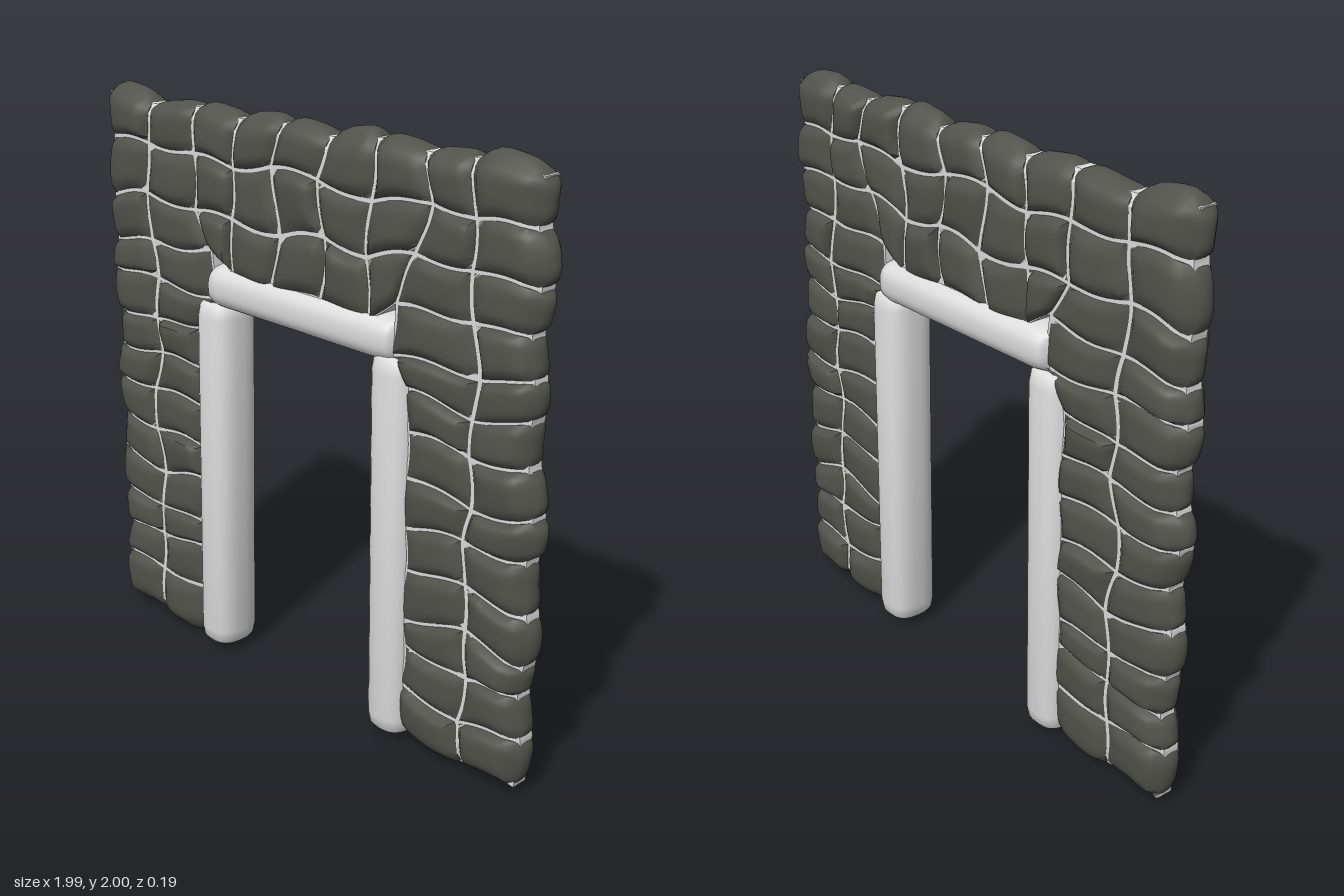
import * as THREE from 'three';
import { mergeVertices, mergeGeometries, toCreasedNormals } from 'three/addons/utils/BufferGeometryUtils.js';

// Joint lines of the masonry
const XS = [-0.95, -0.72, -0.5, -0.3, -0.09, 0.11, 0.32, 0.54, 0.74, 0.95];
const YS = [0.03, 0.2, 0.35, 0.48, 0.63, 0.78, 0.92, 1.07, 1.2, 1.32, 1.47, 1.62, 1.79, 1.95];
const COLS = XS.length - 1, ROWS = YS.length - 1;
const LINTEL_ROW = 10;

// Seeded value in -1..1
function noise(i, j, k) {
  const s = Math.sin(i * 127.1 + j * 311.7 + k * 74.7) * 43758.5453;
  return (s - Math.floor(s)) * 2 - 1;
}

// Irregular corner shared by neighbouring stones
function corner(i, j) {
  let x = XS[i], y = YS[j], ax = 0.025, ay = 0.024;
  if (i === 2 && j <= LINTEL_ROW) { x = j < 9 ? -0.47 : -0.4; ax = 0.006; }
  if (i === 7 && j <= LINTEL_ROW) { x = j < 9 ? 0.49 : 0.42; ax = 0.006; }
  if (j === LINTEL_ROW && i > 2 && i < 7) { y = 1.42; ay = 0.006; }
  if (i === 0 || i === COLS) ax = 0.012;
  if (j === 0 || j === ROWS) ay = 0.008;
  return [x + ax * noise(i, j, 1), y + ay * noise(i, j, 2)];
}

// One masonry cell: a pillow for a stone, a flat block for the mortar bed
function cell(i, j, isStone) {
  const n = isStone ? 8 : 4;
  const geo = new THREE.BoxGeometry(2, 2, 2, n, n, 4);
  geo.deleteAttribute('uv');
  geo.deleteAttribute('normal');
  const [a, b, c, d] = [corner(i, j), corner(i + 1, j), corner(i, j + 1), corner(i + 1, j + 1)];
  const gap = isStone ? 0.055 : 0;
  const tiltX = 0.35 * noise(i, j, 3), tiltY = 0.35 * noise(i, j, 4);
  const swell = 0.024 + 0.006 * noise(i, j, 5);
  const bulge = isStone ? 0.03 + 0.01 * noise(i, j, 6) : 0;
  const left = i === 0, right = i === COLS - 1, bottom = j === 0, top = j === ROWS - 1;
  const p = geo.attributes.position;
  for (let k = 0; k < p.count; k++) {
    const u = p.getX(k), v = p.getY(k), w = p.getZ(k);
    const s = (u * (1 - gap) + 1) / 2, t = (v * (1 - gap * 1.3) + 1) / 2;
    const mix = (q) => (a[q] * (1 - s) + b[q] * s) * (1 - t) + (c[q] * (1 - s) + d[q] * s) * t;
    let x = mix(0), y = mix(1);
    // wavy joints
    const wx = 0.011 * Math.sin(y * 17 + x * 5), wy = 0.012 * Math.sin(x * 15 + y * 4 + 1);
    x += wx;
    y += wy;
    // distance towards any exposed outer edge
    const ex = (left && u < 0) || (right && u > 0) ? Math.abs(u) : 0;
    const ey = (bottom && v < 0) || (top && v > 0) ? Math.abs(v) : 0;
    const round = 1 - 0.42 * Math.max(ex ** 5, ey ** 5);
    const belly = 1 - 0.4 * w * w;
    x += Math.sign(u) * ex ** 3 * bulge * belly * (1 - v ** 4 * 0.9);
    y += Math.sign(v) * ey ** 3 * bulge * belly * (1 - u ** 4 * 0.9);
    const pillow = Math.pow((1 - u ** 4) * (1 - v ** 4), 0.6);
    const h = isStone
      ? 0.052 + swell * pillow * (1 + tiltX * u + tiltY * v)
      : 0.052;
    p.setXYZ(k, x, Math.max(0, y), w * h * round);
  }
  const merged = mergeVertices(geo, 1e-5);
  return isStone ? toCreasedNormals(merged, 0.8) : toCreasedNormals(merged, 0.5);
}

// Softly squared beam along y with rounded ends
function beam(length, rx, rz, lean) {
  const e = length / 2;
  const profile = [[0, -e], [0.82, -e], [0.93, -e + 0.012], [1, -e + 0.05], [1, 0],
    [1, e - 0.05], [0.93, e - 0.012], [0.82, e], [0, e]].map(([r, y]) => new THREE.Vector2(r, y));
  const geo = new THREE.LatheGeometry(profile, 32);
  geo.deleteAttribute('uv');
  geo.deleteAttribute('normal');
  const p = geo.attributes.position;
  for (let k = 0; k < p.count; k++) {
    const x = p.getX(k), y = p.getY(k), z = p.getZ(k);
    const r = Math.hypot(x, z) || 1;
    const f = Math.pow(Math.abs(x / r) ** 2.7 + Math.abs(z / r) ** 2.7, -1 / 2.7) || 1;
    const g = Number.isFinite(f) ? f : 1;
    p.setXYZ(k, x * g * rx + lean * y / e, y, z * g * rz);
  }
  return toCreasedNormals(mergeVertices(geo, 1e-5), 0.9);
}

export function createModel() {
  const model = new THREE.Group();
  model.name = 'stoneDoorway';
  const stone = new THREE.MeshStandardMaterial({ color: 0x51524b });
  stone.name = 'dark stone';
  const pale = new THREE.MeshStandardMaterial({ color: 0xdcdcdc });
  pale.name = 'pale stone';

  const add = (name, geo, mat, parent = model) => {
    const mesh = new THREE.Mesh(geo, mat);
    mesh.name = name;
    parent.add(mesh);
    return mesh;
  };

  // Wall stones on a shared mortar bed, leaving the opening free
  const stones = new THREE.Group();
  stones.name = 'wallStones';
  model.add(stones);
  const bed = [];
  for (let j = 0; j < ROWS; j++) {
    for (let i = 0; i < COLS; i++) {
      if (j < LINTEL_ROW && i > 1 && i < 7) continue;
      add('wallStone', cell(i, j, true), stone, stones);
      bed.push(cell(i, j, false));
    }
  }
  add('mortar', mergeGeometries(bed), pale);

  // Door posts and lintel
  add('rightPost', beam(1.28, 0.081, 0.092, 0.009), pale).position.set(-0.41, 0.67, 0);
  add('leftPost', beam(1.28, 0.081, 0.092, -0.004), pale).position.set(0.422, 0.67, 0);
  const lintel = add('lintel', beam(0.84, 0.074, 0.091, 0), pale);
  lintel.position.set(0.01, 1.365, -0.004);
  lintel.rotation.z = Math.PI / 2 - 0.018;
  return model;
}
